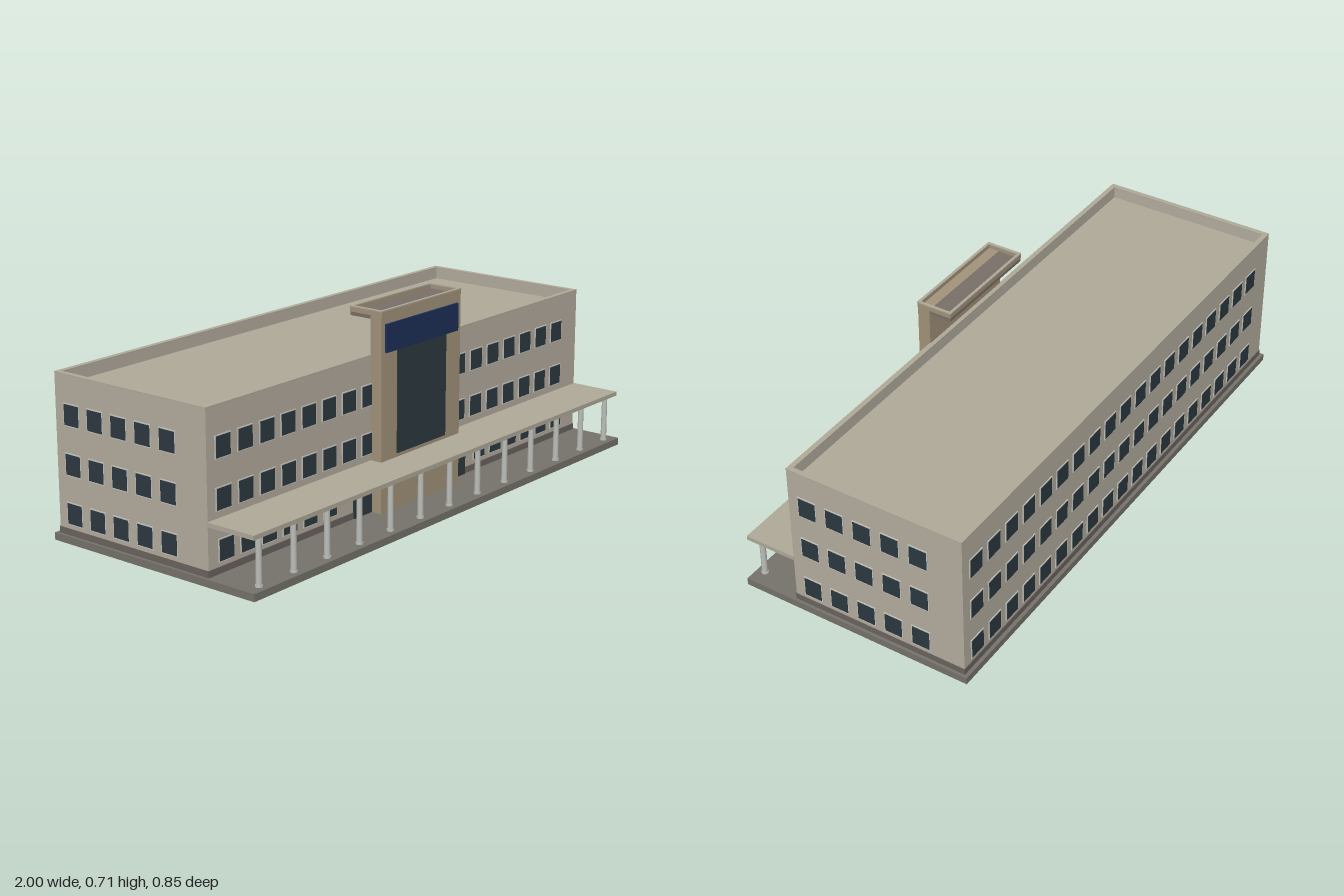
import * as THREE from 'three';

const mat = (color) => new THREE.MeshStandardMaterial({ color });

export function createModel() {
  const model = new THREE.Group();
  const M = {
    wall: mat(0xb5ae9f), roof: mat(0xb0aa9a), tan: mat(0xa3937a), base: mat(0x75736a),
    plinth: mat(0x6b6460), column: mat(0xbcbeb9), frame: mat(0xc4c4be),
    glass: mat(0x2c3940), navy: mat(0x1c2f58), dark: mat(0x7a7069),
  };

  // Box given by its min and max extents
  function box(name, material, [x0, x1], [y0, y1], [z0, z1], parent = model) {
    const mesh = new THREE.Mesh(new THREE.BoxGeometry(x1 - x0, y1 - y0, z1 - z0), material);
    mesh.position.set((x0 + x1) / 2, (y0 + y1) / 2, (z0 + z1) / 2);
    mesh.name = name;
    parent.add(mesh);
    return mesh;
  }

  // Hollow rectangular rim, extruded upwards
  function rim(name, material, x, [z0, z1], [y0, y1], t) {
    const s = new THREE.Shape([
      new THREE.Vector2(-x, -z1), new THREE.Vector2(x, -z1),
      new THREE.Vector2(x, -z0), new THREE.Vector2(-x, -z0)]);
    s.holes.push(new THREE.Path([
      new THREE.Vector2(-x + t, -z1 + t), new THREE.Vector2(-x + t, -z0 - t),
      new THREE.Vector2(x - t, -z0 - t), new THREE.Vector2(x - t, -z1 + t)]));
    const g = new THREE.ExtrudeGeometry(s, { depth: y1 - y0, bevelEnabled: false });
    g.rotateX(-Math.PI / 2);
    const mesh = new THREE.Mesh(g, material);
    mesh.position.y = y0;
    mesh.name = name;
    model.add(mesh);
  }

  // Ground slab, main block and parapet
  const X = 0.988, BACK = -0.41, FRONT = 0.232;
  box('groundSlab', M.base, [-1, 1], [0, 0.025], [-0.425, 0.425]);
  box('plinth', M.plinth, [-X - 0.002, X + 0.002], [0.025, 0.047], [BACK - 0.002, FRONT + 0.002]);
  box('mainBlock', M.wall, [-X, X], [0.047, 0.51], [BACK, FRONT]);
  box('roofDeck', M.roof, [-X + 0.01, X - 0.01], [0.51, 0.513], [BACK + 0.01, FRONT - 0.01]);
  rim('parapet', M.wall, X, [BACK, FRONT], [0.51, 0.553], 0.016);
  rim('parapetCoping', M.roof, X + 0.001, [BACK - 0.001, FRONT + 0.001], [0.553, 0.557], 0.018);

  // Window: frame with a pane slightly proud of it, facing +z before rotation
  const frameGeo = new THREE.BoxGeometry(0.07, 0.075, 0.006);
  const paneGeo = new THREE.BoxGeometry(0.063, 0.068, 0.008);
  function addWindow(x, y, z, angle) {
    const w = new THREE.Group();
    w.name = 'window';
    w.add(new THREE.Mesh(frameGeo, M.frame), new THREE.Mesh(paneGeo, M.glass));
    w.children[0].name = 'windowFrame';
    w.children[1].name = 'windowPane';
    w.position.set(x, y, z);
    w.rotation.y = angle;
    model.add(w);
  }

  const floors = [0.099, 0.262, 0.425];
  floors.forEach((y, floor) => {
    // Long walls, each row starting at the left end as seen from outside
    for (let i = 0; i < 19; i++) {
      const x = -0.917 + i * 0.0985;
      addWindow(-x, y, BACK, Math.PI);
      if (floor > 0 && (i < 8 || i > 11)) addWindow(x, y, FRONT, 0);
    }
    // End walls
    for (let i = 0; i < 5; i++) {
      const z = 0.16 - i * 0.103;
      addWindow(X, y, z, Math.PI / 2);
      addWindow(-X, y, BACK + FRONT - z, -Math.PI / 2);
    }
  });
  // Ground floor windows under the canopy
  for (let i = 0; i < 6; i++) {
    addWindow(-0.909 + i * 0.0975, floors[0], FRONT, 0);
    addWindow(0.39 + i * 0.0955, floors[0], FRONT, 0);
  }

  // Entrance doors beside the tower
  for (const s of [-1, 1]) {
    const c = s * 0.258;
    box('door', M.glass, [c - 0.047, c + 0.047], [0.025, 0.167], [FRONT - 0.01, FRONT + 0.005]);
  }

  // Entrance tower with glazing, navy panel and rear-projecting tray cap
  const T = 0.212;
  box('tower', M.tan, [-T, T], [0.025, 0.69], [FRONT - 0.002, 0.275]);
  box('towerGlazing', M.glass, [-0.131, 0.131], [0.215, 0.57], [0.27, 0.278]);
  box('signPanel', M.navy, [-0.194, 0.19], [0.567, 0.661], [0.27, 0.283]);
  box('capSoffit', M.dark, [-T, T], [0.675, 0.69], [0.147, FRONT - 0.002]);
  rim('capRim', M.tan, T + 0.001, [0.146, 0.276], [0.687, 0.703], 0.008);
  rim('capCoping', M.roof, T + 0.002, [0.145, 0.277], [0.703, 0.707], 0.01);

  // Canopy on a row of round columns
  box('canopy', M.roof, [-0.99, 0.99], [0.187, 0.202], [FRONT, 0.417]);
  const shaft = new THREE.CylinderGeometry(0.0095, 0.0105, 0.162, 16);
  const cap = new THREE.CylinderGeometry(0.0125, 0.0125, 0.006, 16);
  for (let i = 0; i < 13; i++) {
    const column = new THREE.Group();
    column.name = 'column';
    [[shaft, 0.106, 'columnShaft'], [cap, 0.028, 'columnBase'], [cap, 0.184, 'columnCap']]
      .forEach(([g, y, name]) => {
        const m = new THREE.Mesh(g, M.column);
        m.position.y = y;
        m.name = name;
        column.add(m);
      });
    column.position.set(-0.945 + i * 0.1575, 0, 0.395);
    model.add(column);
  }

  return model;
}
